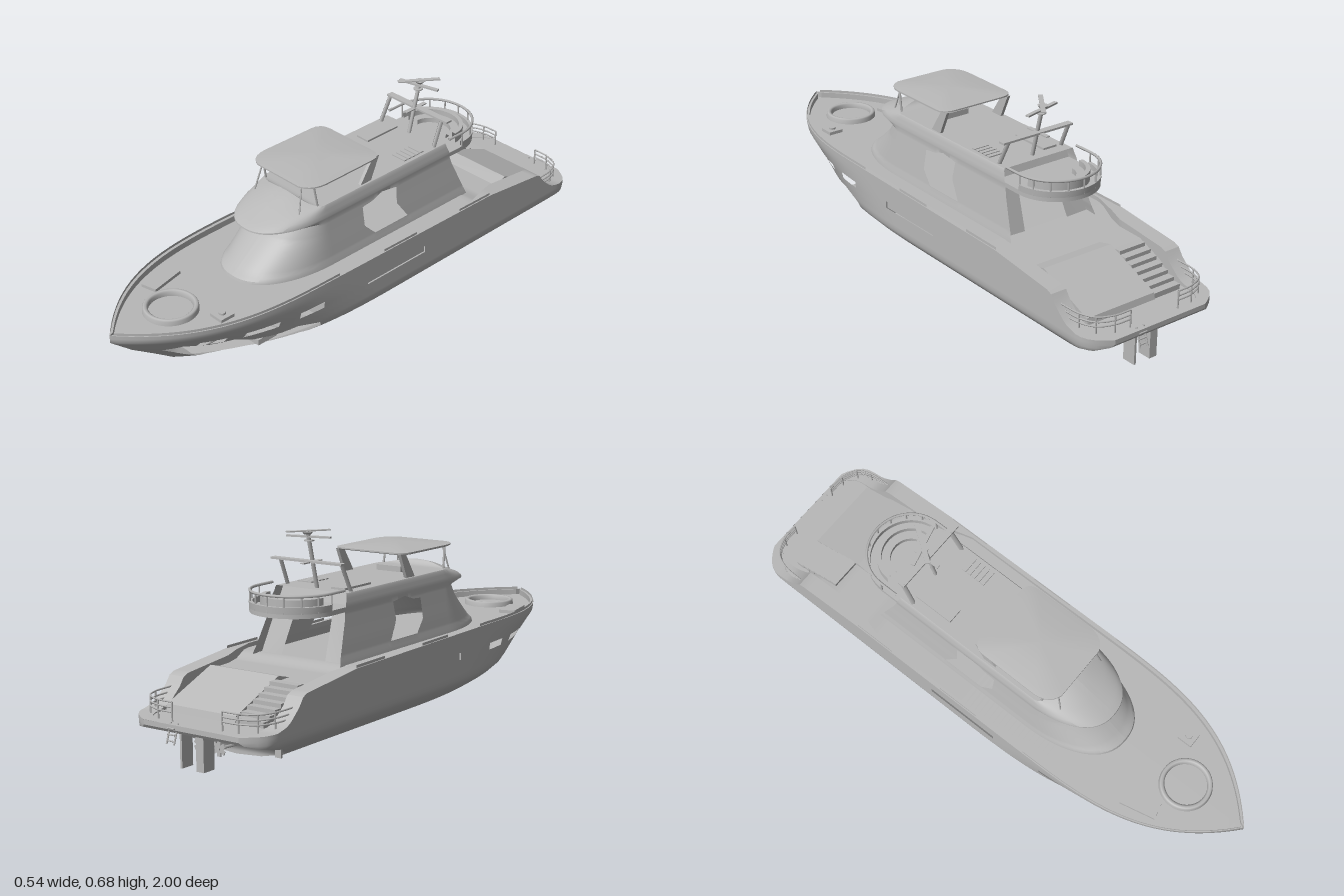
import * as THREE from 'three';
import { toCreasedNormals } from 'three/addons/utils/BufferGeometryUtils.js';

const paint = new THREE.MeshStandardMaterial({ color: 0xb8b8b8, side: THREE.DoubleSide });
paint.name = 'light grey paint';

const V = (x, y, z) => new THREE.Vector3(x, y, z);

// Piecewise linear lookup in [[key, value], ...]
function table(t, k) {
  if (k <= t[0][0]) return t[0][1];
  for (let i = 1; i < t.length; i++) {
    const [a, va] = t[i - 1], [b, vb] = t[i];
    if (k <= b) return va + (vb - va) * (k - a) / (b - a);
  }
  return t[t.length - 1][1];
}

// Surface through rows of points; triangles across the edge of an opening are split, those inside it left out
function surface(rows, open = () => false, crease = 0.6) {
  const pos = [];
  const tri = (a, b, c, depth) => {
    if (b.clone().sub(a).cross(c.clone().sub(a)).length() < 1e-9) return;
    const hits = [a, b, c].filter(open).length;
    if (depth > 0 && hits > 0 && hits < 3) {
      const [ab, bc, ca] = [[a, b], [b, c], [c, a]].map(([p, q]) => p.clone().lerp(q, 0.5));
      for (const t of [[a, ab, ca], [ab, b, bc], [ca, bc, c], [ab, bc, ca]]) tri(...t, depth - 1);
    } else if (!open(a.clone().add(b).add(c).divideScalar(3))) {
      pos.push(...a.toArray(), ...b.toArray(), ...c.toArray());
    }
  };
  for (let i = 0; i + 1 < rows.length; i++) {
    for (let j = 0; j + 1 < rows[i].length; j++) {
      tri(rows[i][j], rows[i][j + 1], rows[i + 1][j + 1], 3);
      tri(rows[i][j], rows[i + 1][j + 1], rows[i + 1][j], 3);
    }
  }
  const g = new THREE.BufferGeometry();
  g.setAttribute('position', new THREE.Float32BufferAttribute(pos, 3));
  return toCreasedNormals(g, crease);
}

function inside(poly, z, y) {
  let hit = false;
  for (let i = 0, j = poly.length - 1; i < poly.length; j = i++) {
    const [zi, yi] = poly[i], [zj, yj] = poly[j];
    if ((yi > y) !== (yj > y) && z < (zj - zi) * (y - yi) / (yj - yi) + zi) hit = !hit;
  }
  return hit;
}

// Hull lines: stem, stern, breadth at each height, bow fullness, and the sheer along the length
const stem = [[0.018, 0.6], [0.035, 0.67], [0.075, 0.76], [0.13, 0.835], [0.19, 0.92], [0.26, 1]];
const stern = [[0.035, -0.775], [0.06, -0.79], [0.085, -0.84], [0.105, -0.93], [0.116, -0.98], [0.13, -0.99]];
const breadth = [[0.018, 0], [0.025, 0.1], [0.045, 0.187], [0.06, 0.21], [0.085, 0.242], [0.11, 0.265], [0.13, 0.269], [0.3, 0.269]];
const fullness = [[0.19, 3.1], [0.28, 3.8]];
const sheerLine = [[-1, 0.146], [-0.9, 0.152], [-0.85, 0.165], [-0.8, 0.21], [-0.775, 0.245], [-0.5, 0.275], [0, 0.283], [0.3, 0.288]];
const deckLine = [[-1, 0.145], [-0.82, 0.15], [-0.76, 0.2], [-0.66, 0.24], [-0.5, 0.245], [-0.44, 0.262], [1, 0.268]];
const sheer = z => table(sheerLine, z);
function halfBreadth(z, y) {
  const s = Math.min(1, Math.max(0, (table(stem, y) - z) / 0.85));
  const tail = Math.max(0, (-0.88 - z) / 0.11);
  return table(breadth, y) * (1 - Math.pow(1 - s, table(fullness, y))) * (1 - 0.3 * tail ** 3);
}

export function createModel() {
  const model = new THREE.Group();
  const add = (name, geo, x = 0, y = 0, z = 0) => {
    const m = new THREE.Mesh(geo, paint);
    m.name = name;
    m.position.set(x, y, z);
    model.add(m);
    return m;
  };
  const box = (name, w, h, d, x, y, z) => add(name, new THREE.BoxGeometry(w, h, d), x, y, z);
  const bar = (name, a, b, r, sides = 6) => {
    const d = b.clone().sub(a);
    const m = add(name, new THREE.CylinderGeometry(r, r, d.length(), sides));
    m.position.copy(a).add(b).multiplyScalar(0.5);
    m.quaternion.setFromUnitVectors(V(0, 1, 0), d.normalize());
    return m;
  };
  const tube = (name, pts, r) =>
    add(name, new THREE.TubeGeometry(new THREE.CatmullRomCurve3(pts), 32, r, 5));

  // Hull with side windows and a torn opening in the left bow
  const levels = [0.018, 0.02, 0.025, 0.03, 0.037, 0.045, 0.055, 0.065, 0.075, 0.085, 0.097, 0.11, 0.12, 0.13,
    0.14, 0.15, 0.16, 0.17, 0.18, 0.19, 0.2025, 0.215, 0.23, 0.245, 0.26, 0.275, 0.29];
  const stations = Array.from({ length: 101 }, (_, i) => -1 + i * 0.02);
  const windows = [[0.68, 0.76], [0.5, 0.62], [0.32, 0.42], [-0.16, 0.12]];
  const tear = [[0.84, 0.175], [0.8, 0.2], [0.72, 0.185], [0.65, 0.19], [0.58, 0.16], [0.5, 0.15], [0.42, 0.155], [0.33, 0.13],
    [0.32, 0.11], [0.36, 0.068], [0.45, 0.055], [0.55, 0.037], [0.64, 0.045], [0.69, 0.075], [0.75, 0.11]];
  for (const s of [1, -1]) {
    const rows = levels.map(level => stations.map(z0 => {
      const y = Math.min(level, sheer(z0));
      const z = Math.max(table(stern, y), Math.min(table(stem, y), z0));
      return V(s * halfBreadth(z, y), y, z);
    }));
    add(s > 0 ? 'leftHull' : 'rightHull', surface(rows, p =>
      (p.y > 0.1901 && p.y < 0.2149 && windows.some(([a, b]) => p.z > a + 1e-4 && p.z < b - 1e-4)) ||
      (s > 0 && inside(tear, p.z, p.y)), 1.1));
    if (s > 0) add('transom', surface(rows.map(r => [r[0], r[0].clone().setX(-r[0].x)])));
    box('windowRecess', 0.004, 0.04, 0.3, s * 0.254, 0.2025, -0.02);
  }

  // Deck with bulwark caps, widening beside the aft deck
  add('deck', surface(stations.map(z0 => {
    const z = Math.max(-0.99, z0), top = sheer(z), w = halfBreadth(z, top);
    const cap = table([[-0.56, 0.06], [-0.4, 0.015]], z);
    const inner = Math.max(0, w - cap), low = Math.min(top, table(deckLine, z));
    const half = [V(w, top, z), V(inner, top, z), V(inner, low, z), V(0, low, z)];
    return [...half, ...half.slice(0, 3).reverse().map(p => V(-p.x, p.y, p.z))];
  }), undefined, 0.4));

  // Interior floor, bulkhead and broken frames behind the opening
  add('interiorFloor', surface(stations.filter(z => z > 0.2 && z < 0.72).map(z => {
    const w = Math.max(0, halfBreadth(z, 0.07) - 0.012);
    return [V(w, 0.07, z), V(-w, 0.07, z)];
  })));
  box('interiorBulkhead', 0.44, 0.12, 0.008, 0, 0.14, 0.26);
  bar('brokenFrame', V(0.06, 0.11, 0.66), V(0.14, 0.19, 0.6), 0.006, 4);
  bar('brokenFrame', V(0.13, 0.16, 0.62), V(0.16, 0.2, 0.5), 0.008, 4);
  bar('brokenFrame', V(0.06, 0.15, 0.7), V(0.09, 0.135, 0.62), 0.006, 4);
  box('brokenShelf', 0.12, 0.02, 0.08, 0.095, 0.085, 0.48).rotation.z = 0.08;
  box('brokenShelf', 0.09, 0.006, 0.1, 0.16, 0.11, 0.38).rotation.z = 0.35;

  // Cabin: raked rounded front, overhanging brow peaking at the centre, raked aft edge, side openings
  const profile = [[0.26, 0.5, 0.18], [0.275, 0.495, 0.177], [0.29, 0.47, 0.173], [0.33, 0.42, 0.167], [0.38, 0.36, 0.159],
    [0.425, 0.325, 0.152]];
  const courses = [];
  for (let y = 0.26; y < 0.426; y += 0.0075) {
    courses.push([y, table(profile.map(p => [p[0], p[1]]), y), table(profile.map(p => [p[0], p[2]]), y)]);
  }
  courses.push([0.431, 0.435, 0.153], [0.436, 0.434, 0.153], [0.45, 0.405, 0.151], [0.468, 0.345, 0.148], [0.48, 0.29, 0.146], [0.485, 0.25, 0.143]);
  const aftEdge = y => table([[0.26, -0.47], [0.4, -0.41], [0.487, -0.385]], y);
  const opening = [[0.035, 0.41], [-0.01, 0.414], [-0.06, 0.43], [-0.13, 0.42], [-0.125, 0.36], [-0.17, 0.295], [-0.01, 0.295], [0.035, 0.34]];
  const cabinRows = s => courses.map(([y, front, hw]) => {
    const row = [], mid = 0.2;
    const browLift = y > 0.43 && y < 0.46 ? 0.007 : 0;
    const peak = Math.max(0, y - 0.465);
    for (let i = 0; i <= 16; i++) {
      const a = i / 16 * Math.PI / 2, k = Math.pow(Math.sin(a), 0.85);
      row.push(V(s * hw * k, y + browLift * k * k + peak * (1 - k * k) ** 2, mid + (front - mid) * Math.cos(a)));
    }
    for (let i = 1; i <= 64; i++) row.push(V(s * hw, y + browLift, mid + (aftEdge(y) - mid) * i / 64));
    return row;
  });
  for (const s of [1, -1]) {
    add('cabinSide', surface(cabinRows(s), p => p.z < 0.05 && inside(opening, p.z, p.y)));
  }
  add('flyDeck', surface(cabinRows(1).at(-1).map(p => [p, V(-p.x, p.y, p.z)])));

  // Recessed aft cabin wall with a doorway
  const wall = new THREE.Shape([[-0.178, 0.25], [0.178, 0.25], [0.143, 0.485], [-0.143, 0.485]].map(p => new THREE.Vector2(...p)));
  wall.holes.push(new THREE.Path([[-0.09, 0.262], [-0.075, 0.41], [0.075, 0.41], [0.09, 0.262]].map(p => new THREE.Vector2(...p))));
  const wallGeo = new THREE.ShapeGeometry(wall), wp = wallGeo.attributes.position;
  for (let i = 0; i < wp.count; i++) wp.setZ(i, aftEdge(wp.getY(i)) + 0.04);
  wallGeo.computeVertexNormals();
  add('aftWall', wallGeo);

  // Rounded aft balcony with coaming, rail and curved seat
  const arc = (r, depth, y, mid = -0.47) => Array.from({ length: 25 }, (_, i) => {
    const a = i / 24 * Math.PI;
    return V(r * Math.cos(a), y, mid - depth * Math.sin(a));
  });
  const balcony = new THREE.Shape([V(0.15, 0, -0.36), ...arc(0.15, 0.145, 0), V(-0.15, 0, -0.36)].map(p => new THREE.Vector2(p.x, p.z)));
  const slab = new THREE.ExtrudeGeometry(balcony, { depth: 0.016, bevelEnabled: false });
  slab.rotateX(Math.PI / 2);
  add('balconyFloor', toCreasedNormals(slab, 0.5), 0, 0.442, 0);
  add('balconyCoaming', surface([arc(0.15, 0.145, 0.44), arc(0.152, 0.147, 0.462), arc(0.14, 0.135, 0.462), arc(0.14, 0.135, 0.44)]));
  tube('balconyRail', [V(0.148, 0.497, -0.4), ...arc(0.148, 0.143, 0.497), V(-0.148, 0.497, -0.4)], 0.005);
  arc(0.148, 0.143, 0.44).filter((_, i) => i % 3 === 0).forEach(p => bar('balconyStanchion', p, p.clone().setY(0.497), 0.003));
  add('balconySeat', surface([arc(0.115, 0.11, 0.44), arc(0.115, 0.11, 0.48), arc(0.1, 0.095, 0.48), arc(0.1, 0.095, 0.46),
    arc(0.07, 0.065, 0.46), arc(0.07, 0.065, 0.44)]));

  // Hardtop over the helm, nearly flat with a low crown
  const top = new THREE.Shape();
  top.moveTo(-0.1, -0.06).lineTo(0.1, -0.06).quadraticCurveTo(0.148, -0.06, 0.15, -0.02);
  top.lineTo(0.152, 0.2).quadraticCurveTo(0.15, 0.265, 0.1, 0.28).lineTo(-0.1, 0.28);
  top.quadraticCurveTo(-0.15, 0.265, -0.152, 0.2).lineTo(-0.15, -0.02).quadraticCurveTo(-0.148, -0.06, -0.1, -0.06);
  const rim = top.getSpacedPoints(60);
  const ring = (k, y) => rim.map(p => V(p.x * k, y, 0.11 + (p.y - 0.11) * k));
  add('hardtop', surface([ring(0, 0.566), ring(0.96, 0.566), ring(1, 0.569), ring(1, 0.574), ring(0.85, 0.577), ring(0.5, 0.581), ring(0, 0.587)]));
  for (const s of [1, -1]) {
    bar('hardtopFrontPole', V(s * 0.112, 0.462, 0.29), V(s * 0.096, 0.568, 0.262), 0.003);
    bar('hardtopSidePole', V(s * 0.128, 0.482, 0.22), V(s * 0.125, 0.568, 0.235), 0.004);
    const leg = new THREE.Shape([[0.03, 0.48], [-0.02, 0.48], [-0.06, 0.57], [-0.03, 0.57]].map(p => new THREE.Vector2(...p)));
    const legGeo = new THREE.ExtrudeGeometry(leg, { depth: 0.012, bevelEnabled: false });
    legGeo.rotateY(-Math.PI / 2);
    add('hardtopLeg', legGeo, s * 0.13 + 0.006, 0, 0);
  }

  // Fly deck furniture
  box('helmSeat', 0.1, 0.02, 0.03, 0, 0.495, 0.08);
  box('flySofa', 0.055, 0.008, 0.15, -0.08, 0.488, -0.27);
  for (let i = 0; i < 5; i++) box('flyStep', 0.06, 0.006, 0.015, 0.1, 0.486, -0.2 - i * 0.02);

  // Radar arch and mast
  for (const s of [1, -1]) bar('archLeg', V(s * 0.13, 0.482, -0.34), V(s * 0.125, 0.578, -0.385), 0.009, 4);
  box('archBeam', 0.29, 0.007, 0.025, 0.012, 0.577, -0.385);
  bar('mast', V(0, 0.482, -0.35), V(0, 0.678, -0.4), 0.007, 8);
  add('mastCollar', new THREE.CylinderGeometry(0.017, 0.017, 0.004, 12), 0, 0.647, -0.392);
  box('radarBar', 0.155, 0.006, 0.014, 0, 0.66, -0.395).rotation.y = 0.25;
  add('scannerBase', new THREE.CylinderGeometry(0.018, 0.012, 0.008, 12), 0, 0.672, -0.4);
  box('scanner', 0.15, 0.004, 0.016, 0, 0.679, -0.395).rotation.y = 0.95;
  box('mastSpreader', 0.016, 0.004, 0.1, 0, 0.575, -0.38);

  // Foredeck tub and hatches
  const tub = [[0.074, 0.266], [0.074, 0.282], [0.08, 0.287], [0.088, 0.287], [0.092, 0.282], [0.094, 0.262]];
  add('foredeckTub', new THREE.LatheGeometry(tub.map(p => new THREE.Vector2(...p)), 40), 0, 0, 0.755);
  box('foredeckLocker', 0.06, 0.014, 0.13, -0.15, 0.271, 0.675).rotation.y = 0.22;
  box('foredeckHatch', 0.055, 0.012, 0.055, 0.145, 0.272, 0.66);
  add('hatchCap', new THREE.CylinderGeometry(0.012, 0.012, 0.008, 12), 0.145, 0.281, 0.66);

  // Raised bulwark rails on both sides
  for (const s of [1, -1]) {
    for (const [a, b] of [[0.25, 0.99], [-0.12, 0.04], [-0.5, -0.34]]) {
      const zs = Array.from({ length: 25 }, (_, i) => a + (b - a) * i / 24);
      const edge = lift => zs.map(z => V(s * Math.max(0, halfBreadth(z, sheer(z)) - 0.004), sheer(z) + lift, z));
      add('bulwarkRail', surface([edge(-0.002), edge(0.009)]));
    }
  }

  // Aft deck: sloping garage lid and stairs
  const lid = new THREE.Shape([[-0.6, 0.24], [-0.66, 0.256], [-0.87, 0.17], [-0.88, 0.135], [-0.6, 0.135]].map(p => new THREE.Vector2(...p)));
  const lidGeo = new THREE.ExtrudeGeometry(lid, { depth: 0.28, bevelEnabled: false });
  lidGeo.rotateY(-Math.PI / 2);
  add('garageLid', lidGeo, 0.2, 0, 0);
  for (let i = 0; i < 7; i++) box('aftStep', 0.11, 0.02, 0.03, -0.135, 0.238 - i * 0.0135, -0.69 - i * 0.028);

  // Stern corner rails on the swim platform
  for (const s of [1, -1]) {
    const path = y => [V(s * 0.245, y, -0.8), V(s * 0.24, y, -0.88), V(s * 0.215, y, -0.93), V(s * 0.16, y, -0.955), V(s * 0.1, y, -0.958)];
    for (const y of [0.175, 0.19, 0.207]) tube('sternRail', path(y), 0.003);
    path(0.145).forEach(p => bar('sternRailPost', p, p.clone().setY(0.207), 0.003));
  }

  // Rudders, shafts, trim fin and swim ladder
  box('rudder', 0.03, 0.11, 0.05, -0.006, 0.056, -0.93);
  box('rudder', 0.008, 0.11, 0.05, 0.07, 0.056, -0.93);
  box('trimFin', 0.024, 0.05, 0.008, -0.212, 0.077, -0.83);
  for (const x of [-0.006, 0.07]) {
    bar('propellerShaft', V(x, 0.05, -0.77), V(x, 0.055, -0.87), 0.005);
    for (let i = 0; i < 3; i++) box('propellerBlade', 0.014, 0.05, 0.004, x, 0.055, -0.865).rotation.z = i * Math.PI / 3;
  }
  for (const x of [0.06, 0.09]) bar('ladderRail', V(x, 0.15, -0.975), V(x, 0.085, -0.997), 0.003);
  for (const y of [0.095, 0.115, 0.135]) bar('ladderRung', V(0.06, y, -0.992), V(0.09, y, -0.992), 0.0025);
  return model;
}
